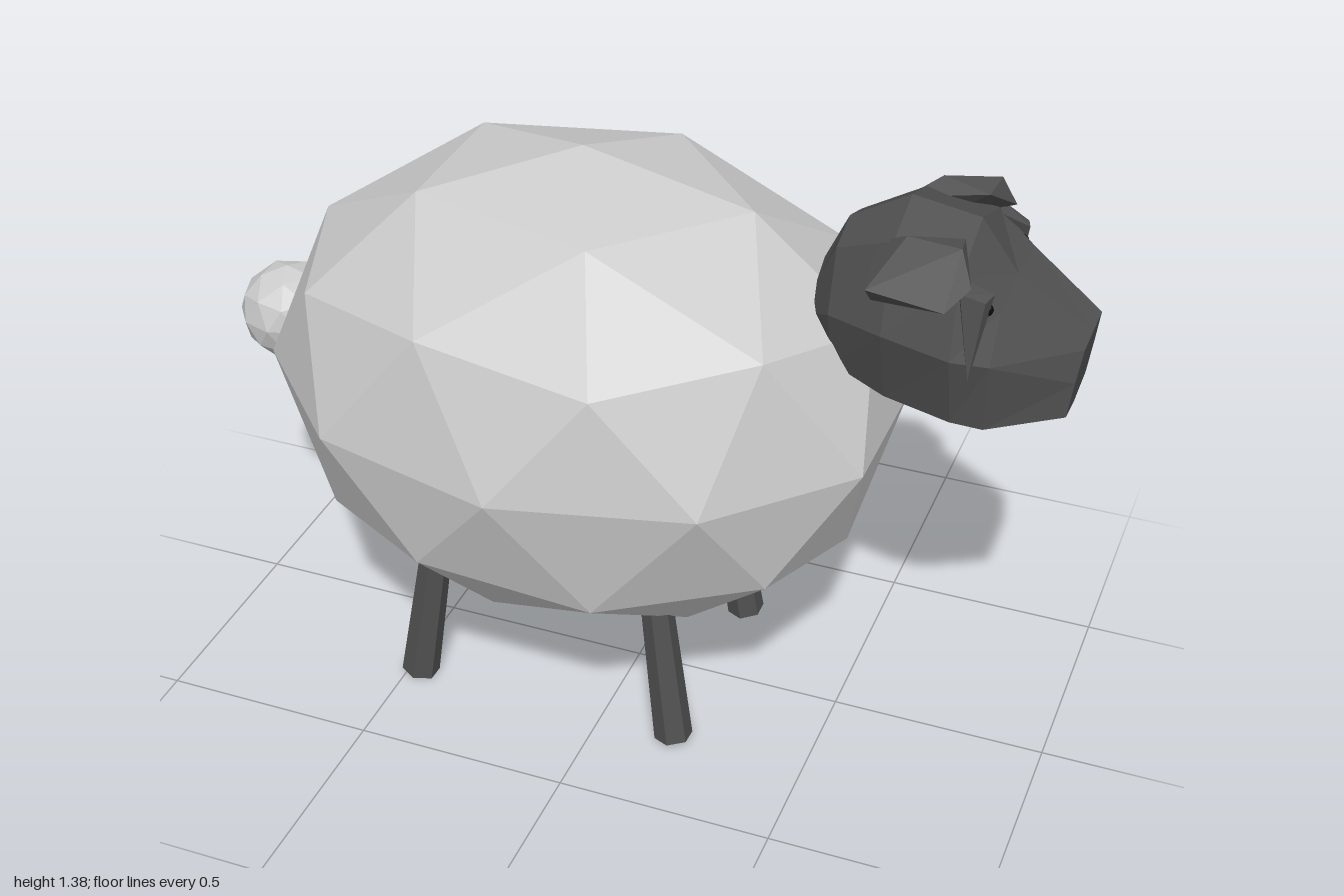
import * as THREE from 'three';
import { ConvexGeometry } from 'three/addons/geometries/ConvexGeometry.js';

const wool = new THREE.MeshStandardMaterial({ color: 0xcccccc, flatShading: true });
const dark = new THREE.MeshStandardMaterial({ color: 0x505050, flatShading: true });
const black = new THREE.MeshStandardMaterial({ color: 0x0a0a0a, flatShading: true });

function addMesh(parent, name, geometry, material) {
  const mesh = new THREE.Mesh(geometry, material);
  mesh.name = name;
  parent.add(mesh);
  return mesh;
}

// Faceted ball standing on one of its corners, stretched to the given radii
function woolBall(rx, ry, rz) {
  const g = new THREE.IcosahedronGeometry(1, 1);
  g.rotateZ(-Math.atan(2 / (1 + Math.sqrt(5))));
  return g.scale(rx, ry, rz);
}

// Head sections from nape to nose: x, slant, top y, then (y, z) of brow,
// cheek and jaw, then chin y
const headSections = [
  [0.42, 0, 1.2, 1.17, 0.05, 1.1, 0.07, 1.03, 0.05, 1.01],
  [0.47, 0, 1.31, 1.28, 0.09, 1.14, 0.13, 1.0, 0.09, 0.96],
  [0.60, 0, 1.385, 1.34, 0.13, 1.15, 0.19, 0.97, 0.13, 0.93],
  [0.75, 0, 1.36, 1.3, 0.165, 1.13, 0.205, 0.955, 0.155, 0.905],
  [0.83, 0.05, 1.245, 1.235, 0.145, 1.12, 0.18, 0.95, 0.15, 0.91],
  [1.0, 0.13, 1.145, 1.145, 0.082, 1.07, 0.095, 0.985, 0.095, 0.965],
];

function headGeometry() {
  const pos = [], idx = [], n = 8;
  for (const [x, slant, top, by, bz, cy, cz, jy, jz, chin] of headSections) {
    const ring = [[top, 0], [by, bz], [cy, cz], [jy, jz], [chin, 0], [jy, -jz], [cy, -cz], [by, -bz]];
    for (const [y, z] of ring) pos.push(x + slant * (y - 1.145), y, z);
  }
  const last = (headSections.length - 1) * n;
  for (let i = 0; i < last; i += n) {
    for (let j = 0; j < n; j++) {
      const a = i + j, c = i + (j + 1) % n;
      // mirror the diagonal so both cheeks match
      if (j < n / 2) idx.push(a, c, a + n, c, c + n, a + n);
      else idx.push(a, c, c + n, a, c + n, a + n);
    }
  }
  for (let j = 1; j < n - 1; j++) {
    idx.push(0, j + 1, j);
    idx.push(last, last + j, last + j + 1);
  }
  const g = new THREE.BufferGeometry();
  g.setAttribute('position', new THREE.Float32BufferAttribute(pos, 3));
  g.setIndex(idx);
  g.computeVertexNormals();
  return g;
}

// Folded ear: a flap on the crown and a narrow point hanging in front
function earGeometry(side, points) {
  return new ConvexGeometry(points.map(([x, y, z]) => new THREE.Vector3(x, y, z * side)));
}
const earFlap = [
  [0.56, 1.32, 0.1], [0.74, 1.36, 0.1], [0.63, 1.365, 0.14], [0.75, 1.372, 0.165],
  [0.57, 1.27, 0.22], [0.74, 1.262, 0.24], [0.78, 1.3, 0.19], [0.57, 1.22, 0.17],
];
const earPoint = [
  [0.74, 1.3, 0.15], [0.82, 1.275, 0.15], [0.76, 1.29, 0.2], [0.81, 1.27, 0.185], [0.79, 1.09, 0.2],
];

// Six-sided leg between two points
function addLeg(parent, name, top, foot) {
  const a = new THREE.Vector3(...top), b = new THREE.Vector3(...foot);
  const dir = a.clone().sub(b);
  const leg = addMesh(parent, name, new THREE.CylinderGeometry(0.036, 0.045, dir.length(), 6), dark);
  leg.position.copy(a).add(b).multiplyScalar(0.5);
  leg.quaternion.setFromUnitVectors(new THREE.Vector3(0, 1, 0), dir.normalize());
}

export function createModel() {
  const sheep = new THREE.Group();
  sheep.name = 'sheep';

  // Fleece and tail
  addMesh(sheep, 'body', woolBall(0.746, 0.575, 0.575), wool).position.set(-0.13, 0.787, 0);
  addMesh(sheep, 'tail', woolBall(0.118, 0.118, 0.118), wool).position.set(-0.888, 0.79, 0);

  // Head with ears and eyes
  const head = new THREE.Group();
  head.name = 'head';
  sheep.add(head);
  addMesh(head, 'face', headGeometry(), dark);
  for (const side of [1, -1]) {
    addMesh(head, 'ear', earGeometry(side, earFlap), dark);
    addMesh(head, 'earPoint', earGeometry(side, earPoint), dark);
    const eye = addMesh(head, 'eye', new THREE.IcosahedronGeometry(0.016, 1), black);
    eye.position.set(0.805, 1.238, 0.15 * side);
  }

  // Splayed legs
  for (const side of [1, -1]) {
    addLeg(sheep, 'frontLeg', [0.125, 0.42, 0.232 * side], [0.185, 0.008, 0.258 * side]);
    addLeg(sheep, 'backLeg', [-0.41, 0.42, 0.232 * side], [-0.47, 0.008, 0.25 * side]);
  }
  return sheep;
}
